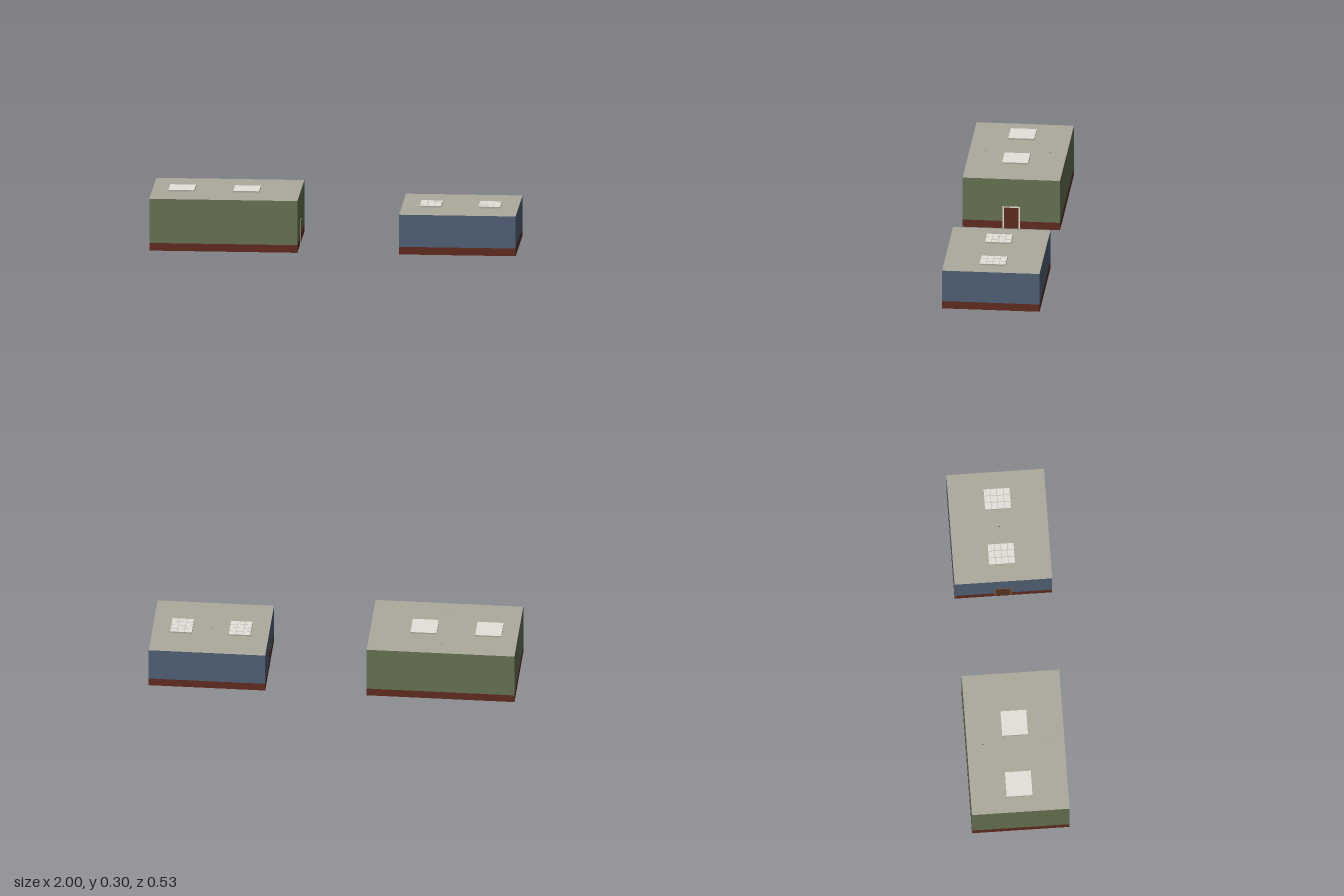
import * as THREE from 'three';

const paint = (name, color) => {
  const m = new THREE.MeshStandardMaterial({ color });
  m.name = name;
  return m;
};

const DEPTH = 0.533;
const BAND = 0.043;

function addBox(parent, name, size, pos, material) {
  const mesh = new THREE.Mesh(new THREE.BoxGeometry(...size), material);
  mesh.name = name;
  mesh.position.set(...pos);
  parent.add(mesh);
  return mesh;
}

export function createModel() {
  const green = paint('greenWall', 0x677353);
  const blue = paint('blueWall', 0x516176);
  const red = paint('redBand', 0x612b20);
  const concrete = paint('roofConcrete', 0xada99c);
  const pale = paint('palePanel', 0xe5e2da);
  const grille = paint('greyGrille', 0xbcb9b1);
  const dark = paint('darkFooting', 0x3a3836);
  const greyFloor = paint('greyFloor', 0xa29e94);
  const brownFloor = paint('brownFloor', 0x825e45);
  const brown = paint('brownDoor', 0x5a3822);

  // One flat-roofed block: banded walls, roof, underside and door
  function building({ name, x0, x1, top, wall, floor, doorSide, doorHeight, frame, door }) {
    const g = new THREE.Group();
    g.name = name;
    g.position.x = (x0 + x1) / 2;
    const w = x1 - x0;
    const wallH = top - BAND;

    // the top face of the walls is the roof
    addBox(g, 'wallsAndRoof', [w, wallH, DEPTH], [0, BAND + wallH / 2, 0],
      [wall, wall, concrete, dark, wall, wall]);

    // the underside of the band is the dark footing
    const lift = 0.0005;
    addBox(g, 'baseBand', [w, BAND - lift, DEPTH], [0, (BAND + lift) / 2, 0],
      [red, red, red, dark, red, red]);
    addBox(g, 'floorUnderside', [w - 0.055, 0.002, DEPTH - 0.055], [0, 0.001, 0], floor);

    // thin door leaf and frame on the side wall
    const dw = 0.08, t = 0.007;
    const dx = doorSide * w / 2;
    addBox(g, 'door', [0.001, doorHeight, dw], [dx, doorHeight / 2 + lift, 0], door);
    for (const s of [-1, 1]) {
      addBox(g, 'doorJamb', [0.002, doorHeight, t], [dx, doorHeight / 2 + lift, s * (dw + t) / 2], frame);
    }
    addBox(g, 'doorLintel', [0.002, t, dw + 2 * t], [dx, doorHeight + t / 2, 0], frame);
    return g;
  }

  // Raised roof light: grey curb, pale top plate and optional grille bars
  function roofLight(parent, x, base, width, rows, columns) {
    const g = new THREE.Group();
    g.name = 'roofLight';
    g.position.set(x, base, 0);
    parent.add(g);
    const len = 0.142, h = 0.008, bar = 0.003;
    addBox(g, 'curb', [width, h, len], [0, h / 2, 0], concrete);
    addBox(g, 'panel', [width - 0.001, 0.001, len - 0.001], [0, h + 0.0003, 0], pale);
    for (let i = 1; i < columns; i++) {
      addBox(g, 'grilleBar', [bar, 0.001, len - 0.002], [width * (i / columns - 0.5), h + 0.0006, 0], grille);
    }
    for (let i = 1; i < rows; i++) {
      addBox(g, 'grilleBar', [width - 0.002, 0.001, bar], [0, h + 0.0006, len * (i / rows - 0.5)], grille);
    }
  }

  // Small fixing stub, almost flush with the roof
  function stub(parent, y, z) {
    const mesh = new THREE.Mesh(new THREE.CylinderGeometry(0.003, 0.003, 0.001, 8), dark);
    mesh.name = 'roofStub';
    mesh.position.set(0, y, z);
    parent.add(mesh);
  }

  const model = new THREE.Group();
  model.name = 'twoBuildings';

  const large = building({
    name: 'largeBuilding', x0: -1, x1: -0.192, top: 0.289, wall: green, floor: greyFloor,
    doorSide: 1, doorHeight: 0.122, frame: pale, door: red,
  });
  const small = building({
    name: 'smallBuilding', x0: 0.363, x1: 1, top: 0.222, wall: blue, floor: brownFloor,
    doorSide: -1, doorHeight: 0.105, frame: brownFloor, door: brown,
  });
  model.add(large, small);

  for (const s of [-1, 1]) {
    roofLight(large, -0.066 + s * 0.177, 0.289, 0.143, 0, 0);
    roofLight(small, s * 0.16, 0.222, 0.118, 4, 3);
    stub(large, 0.289, s * 0.177);
  }
  stub(small, 0.222, 0);
  return model;
}
